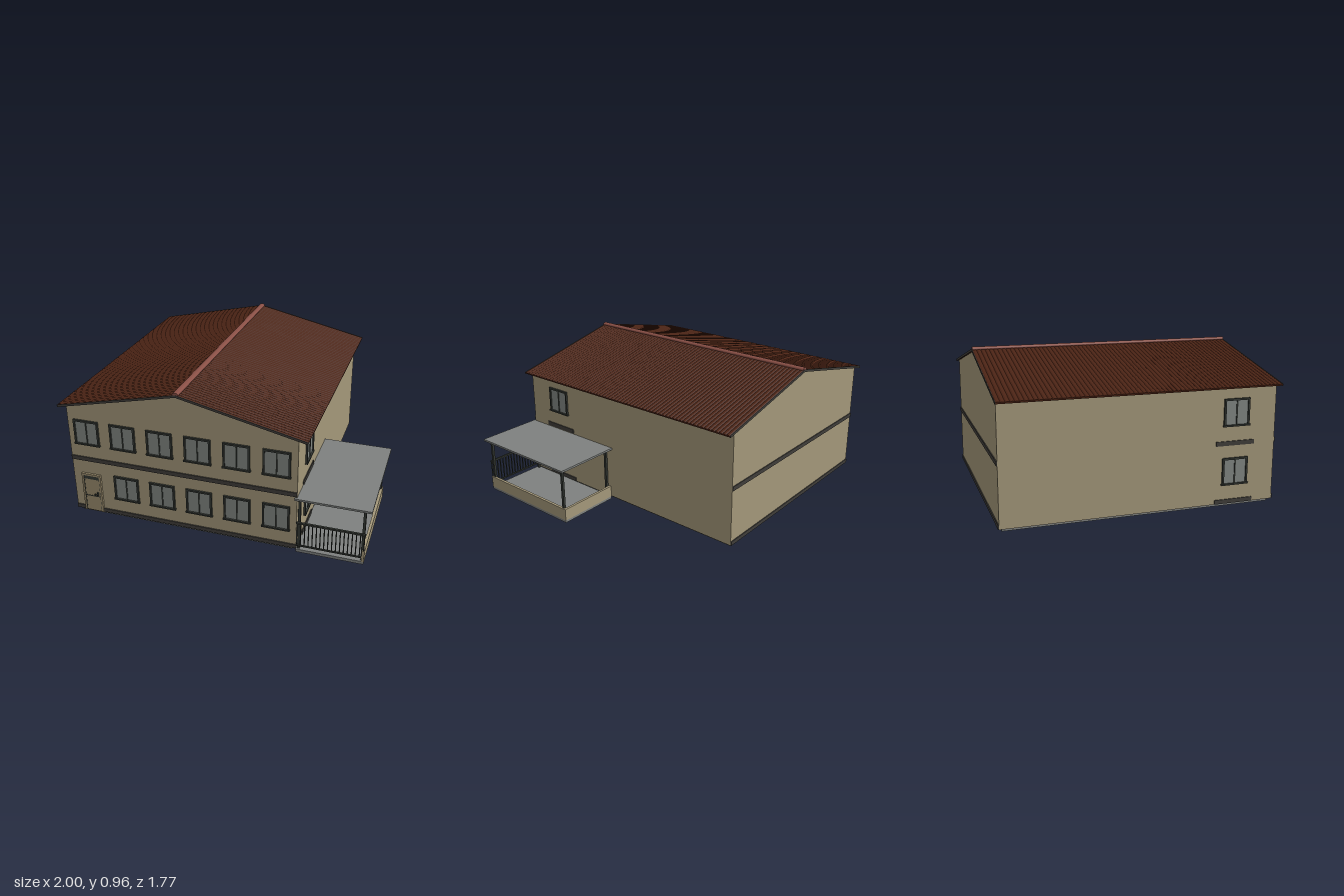
import * as THREE from 'three';

const mat = (name, color) => {
  const m = new THREE.MeshStandardMaterial({ color });
  m.name = name;
  return m;
};

export function createModel() {
  const wallTan = mat('wall tan', 0xa4987a);
  const trimDark = mat('trim charcoal', 0x403e3a);
  const frameDark = mat('frame dark', 0x343833);
  const glass = mat('glass grey', 0x828783);
  const concrete = mat('concrete grey', 0x7e817f);
  const roofBrown = mat('roof brown', 0x4c2415);
  const ridgeRed = mat('ridge red', 0x8a5046);
  const doorTan = mat('door tan', 0x9a8c6d);

  const model = new THREE.Group();
  model.name = 'house';

  // box given by its min and max corners
  const box = (parent, name, m, x0, x1, y0, y1, z0, z1) => {
    const mesh = new THREE.Mesh(new THREE.BoxGeometry(x1 - x0, y1 - y0, z1 - z0), m);
    mesh.position.set((x0 + x1) / 2, (y0 + y1) / 2, (z0 + z1) / 2);
    mesh.name = name;
    parent.add(mesh);
    return mesh;
  };
  const group = (parent, name) => {
    const g = new THREE.Group();
    g.name = name;
    parent.add(g);
    return g;
  };

  const L = -0.938, R = 0.553, FRONT = 0.857, BACK = -0.875;
  const RIDGE_X = -0.195, RIDGE_Y = 0.948, RUN = 0.805, DROP = 0.18;
  const slope = Math.atan2(DROP, RUN);
  const underRoof = x => RIDGE_Y - 0.014 - Math.abs(x - RIDGE_X) * DROP / RUN;

  // gabled body on a recessed foundation
  const gable = new THREE.Shape([[L, 0.022], [R, 0.022], [R, underRoof(R)], [RIDGE_X, underRoof(RIDGE_X)], [L, underRoof(L)]]
    .map(p => new THREE.Vector2(...p)));
  const walls = new THREE.Mesh(new THREE.ExtrudeGeometry(gable, { depth: FRONT - BACK, bevelEnabled: false }), wallTan);
  walls.position.z = BACK;
  walls.name = 'walls';
  model.add(walls);
  box(model, 'foundation', concrete, -0.91, 0.527, 0, 0.022, -0.855, 0.84);

  // horizontal bands on front, back and short returns on the sides
  for (const [y0, y1] of [[0.024, 0.05], [0.393, 0.421]]) {
    box(model, 'frontBand', trimDark, L, R, y0, y1, FRONT, FRONT + 0.007);
    box(model, 'backBand', trimDark, L, R, y0, y1, BACK - 0.006, BACK);
    box(model, 'leftSideBand', trimDark, R, R + 0.006, y0, y1, 0.46, 0.715);
    box(model, 'rightSideBand', trimDark, L - 0.006, L, y0, y1, 0.46, 0.715);
  }

  // corrugated roof slopes
  const z0 = -0.885, z1 = 0.862, halfZ = (z1 - z0) / 2, midZ = (z0 + z1) / 2;
  const length = Math.hypot(RUN, DROP);
  const waves = 66, pitch = (2 * halfZ) / waves;
  const section = new THREE.Shape();
  section.moveTo(-halfZ, -0.012);
  section.lineTo(halfZ, -0.012);
  for (let i = waves - 1; i >= 0; i--) {
    const u = -halfZ + i * pitch;
    section.lineTo(u + pitch, -0.004);
    section.lineTo(u + pitch * 0.7, 0);
    section.lineTo(u + pitch * 0.3, 0);
  }
  section.lineTo(-halfZ, -0.004);
  const sheet = new THREE.ExtrudeGeometry(section, { depth: length, bevelEnabled: false });
  sheet.rotateY(Math.PI / 2);
  for (const side of [1, -1]) {
    const half = group(model, side > 0 ? 'leftRoof' : 'rightRoof');
    half.position.set(RIDGE_X, RIDGE_Y, midZ);
    half.rotation.y = side > 0 ? 0 : Math.PI;
    const tilt = group(half, 'slope');
    tilt.rotation.z = -slope;
    const tiles = new THREE.Mesh(sheet, roofBrown);
    tiles.name = 'corrugatedSheet';
    tilt.add(tiles);
    // dark verge edges at both gables
    for (const s of [1, -1]) {
      const z = s * (halfZ + 0.001);
      box(tilt, 'verge', trimDark, 0, length, -0.015, 0, z - 0.002, z + 0.002);
    }
  }
  const cap = new THREE.Mesh(new THREE.CylinderGeometry(0.02, 0.02, 2 * halfZ, 16), ridgeRed);
  cap.rotation.x = Math.PI / 2;
  cap.scale.z = 0.6;
  cap.position.set(RIDGE_X, RIDGE_Y + 0.001, midZ);
  cap.name = 'ridgeCap';
  model.add(cap);

  // window facing +z, centred on its origin
  const addWindow = (x, y, z, turn) => {
    const w = group(model, 'window');
    w.position.set(x, y, z);
    w.rotation.y = turn;
    box(w, 'glass', glass, -0.08, 0.08, -0.08, 0.08, 0, 0.004);
    for (const s of [1, -1]) {
      box(w, 'jamb', frameDark, s * 0.079 - 0.006, s * 0.079 + 0.006, -0.085, 0.085, 0, 0.012);
    }
    box(w, 'head', frameDark, -0.085, 0.085, 0.073, 0.085, 0, 0.012);
    box(w, 'mullion', frameDark, -0.004, 0.004, -0.08, 0.08, 0, 0.009);
    box(w, 'sill', frameDark, -0.089, 0.089, -0.087, -0.077, 0, 0.016);
  };
  for (let i = 0; i < 6; i++) {
    const x = -0.812 + i * 0.2475;
    addWindow(x, 0.6, FRONT, 0);
    if (i > 0) addWindow(x, 0.23, FRONT, 0);
  }
  for (const y of [0.23, 0.6]) {
    addWindow(R, y, 0.59, Math.PI / 2);
    addWindow(L, y, 0.59, -Math.PI / 2);
  }

  // entrance door
  const door = group(model, 'door');
  door.position.set(-0.81, 0, FRONT);
  box(door, 'leaf', doorTan, -0.055, 0.055, 0.024, 0.285, 0, 0.009);
  for (const s of [1, -1]) {
    box(door, 'doorJamb', doorTan, s * 0.061 - 0.006, s * 0.061 + 0.006, 0.024, 0.3, 0, 0.014);
    box(door, 'doorSeam', frameDark, s * 0.053 - 0.002, s * 0.053 + 0.002, 0.024, 0.287, 0, 0.011);
  }
  box(door, 'doorHead', doorTan, -0.067, 0.067, 0.287, 0.3, 0, 0.014);
  box(door, 'transom', frameDark, -0.053, 0.053, 0.262, 0.285, 0, 0.011);
  box(door, 'midRail', frameDark, -0.053, 0.053, 0.133, 0.139, 0, 0.011);
  box(door, 'handlePlate', frameDark, 0.034, 0.042, 0.145, 0.17, 0, 0.018);
  box(door, 'handle', frameDark, 0.018, 0.042, 0.155, 0.161, 0.018, 0.028);

  // covered terrace
  const terrace = group(model, 'terrace');
  box(terrace, 'terraceFloor', concrete, 0.553, 0.97, 0, 0.02, 0.12, 0.862);
  box(terrace, 'sideParapet', wallTan, 0.955, 0.972, 0.018, 0.096, 0.118, 0.864);
  box(terrace, 'backParapet', wallTan, 0.553, 0.955, 0.018, 0.096, 0.118, 0.135);
  box(terrace, 'canopy', concrete, 0.54, 1, 0.373, 0.386, 0.098, 0.873);
  for (const x of [0.568, 0.957]) {
    for (const z of [0.145, 0.843]) {
      box(terrace, 'post', frameDark, x - 0.008, x + 0.008, 0.02, 0.374, z - 0.008, z + 0.008);
    }
  }

  // front railing
  const railing = group(terrace, 'railing');
  box(railing, 'topRail', frameDark, 0.553, 0.972, 0.206, 0.217, 0.853, 0.866);
  box(railing, 'bottomRail', frameDark, 0.553, 0.972, 0.044, 0.053, 0.855, 0.864);
  for (let i = 0; i <= 17; i++) {
    const x = 0.558 + i * 0.024;
    box(railing, 'baluster', frameDark, x - 0.003, x + 0.003, 0.05, 0.21, 0.857, 0.863);
  }
  return model;
}
